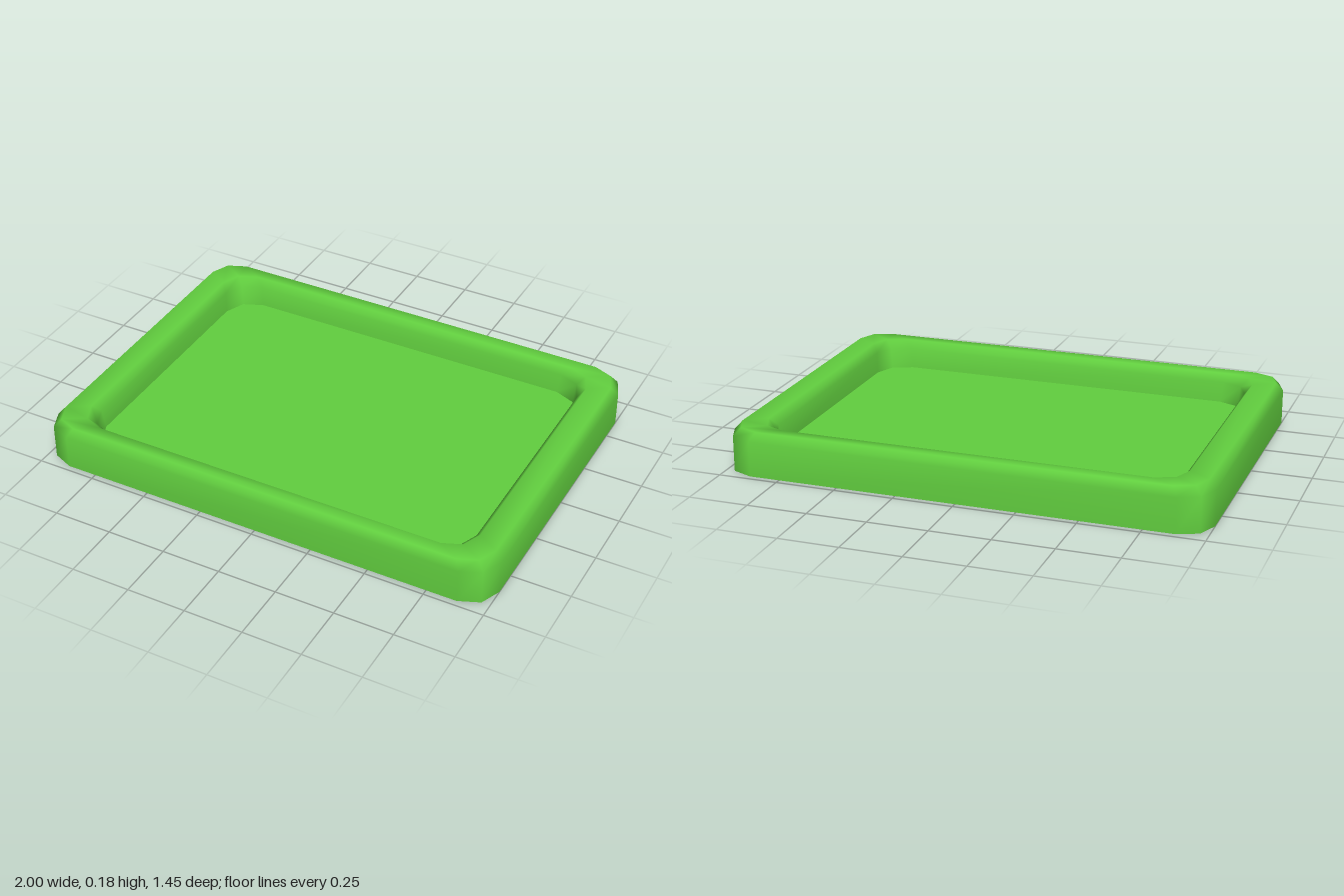
import * as THREE from 'three';

// Rounded rectangle with three points per corner, anticlockwise from above.
function ring({ hx, hz, r, y }) {
  const points = [];
  const signs = [[1, 1], [-1, 1], [-1, -1], [1, -1]];
  signs.forEach(([sx, sz], corner) => {
    for (let k = 0; k <= 2; k++) {
      const a = (corner + k / 2) * Math.PI / 2;
      points.push([sx * (hx - r) + r * Math.cos(a), y, -(sz * (hz - r) + r * Math.sin(a))]);
    }
  });
  return points;
}

function build(points, index, material, name) {
  const geometry = new THREE.BufferGeometry();
  geometry.setAttribute('position', new THREE.Float32BufferAttribute(points.flat(), 3));
  geometry.setIndex(index);
  geometry.computeVertexNormals();
  const mesh = new THREE.Mesh(geometry, material);
  mesh.name = name;
  return mesh;
}

// Smooth skin through a list of rings.
function loft(sections, material, name) {
  const rings = sections.map(ring);
  const n = rings[0].length;
  const index = [];
  for (let i = 0; i < rings.length - 1; i++) {
    for (let j = 0; j < n; j++) {
      const k = (j + 1) % n;
      const a = i * n + j, b = i * n + k, c = a + n, d = b + n;
      index.push(a, b, d, a, d, c);
    }
  }
  return build(rings.flat(), index, material, name);
}

// Flat panel filling one ring.
function panel(section, up, material, name) {
  const points = ring(section);
  const n = points.length;
  points.push([0, section.y, 0]);
  const index = [];
  for (let j = 0; j < n; j++) {
    const k = (j + 1) % n;
    index.push(n, up ? j : k, up ? k : j);
  }
  return build(points, index, material, name);
}

export function createModel() {
  const green = new THREE.MeshStandardMaterial({ color: 0x62cf3f });
  green.name = 'green';

  const base = { hx: 1, hz: 0.725, r: 0.122, y: 0 };
  const floor = { hx: 0.845, hz: 0.615, r: 0.122, y: 0.06 };

  const tray = new THREE.Group();
  tray.name = 'tray';
  tray.add(
    // Outer wall, bevelled rim and inner wall
    loft([
      base,
      { ...base, y: 0.147 },
      { hx: 0.97, hz: 0.7, r: 0.112, y: 0.182 },
      { hx: 0.88, hz: 0.645, r: 0.112, y: 0.182 },
      { hx: 0.853, hz: 0.624, r: 0.12, y: 0.147 },
      floor,
    ], green, 'rim'),
    panel(floor, true, green, 'trayFloor'),
    panel(base, false, green, 'underside'),
  );
  return tray;
}
